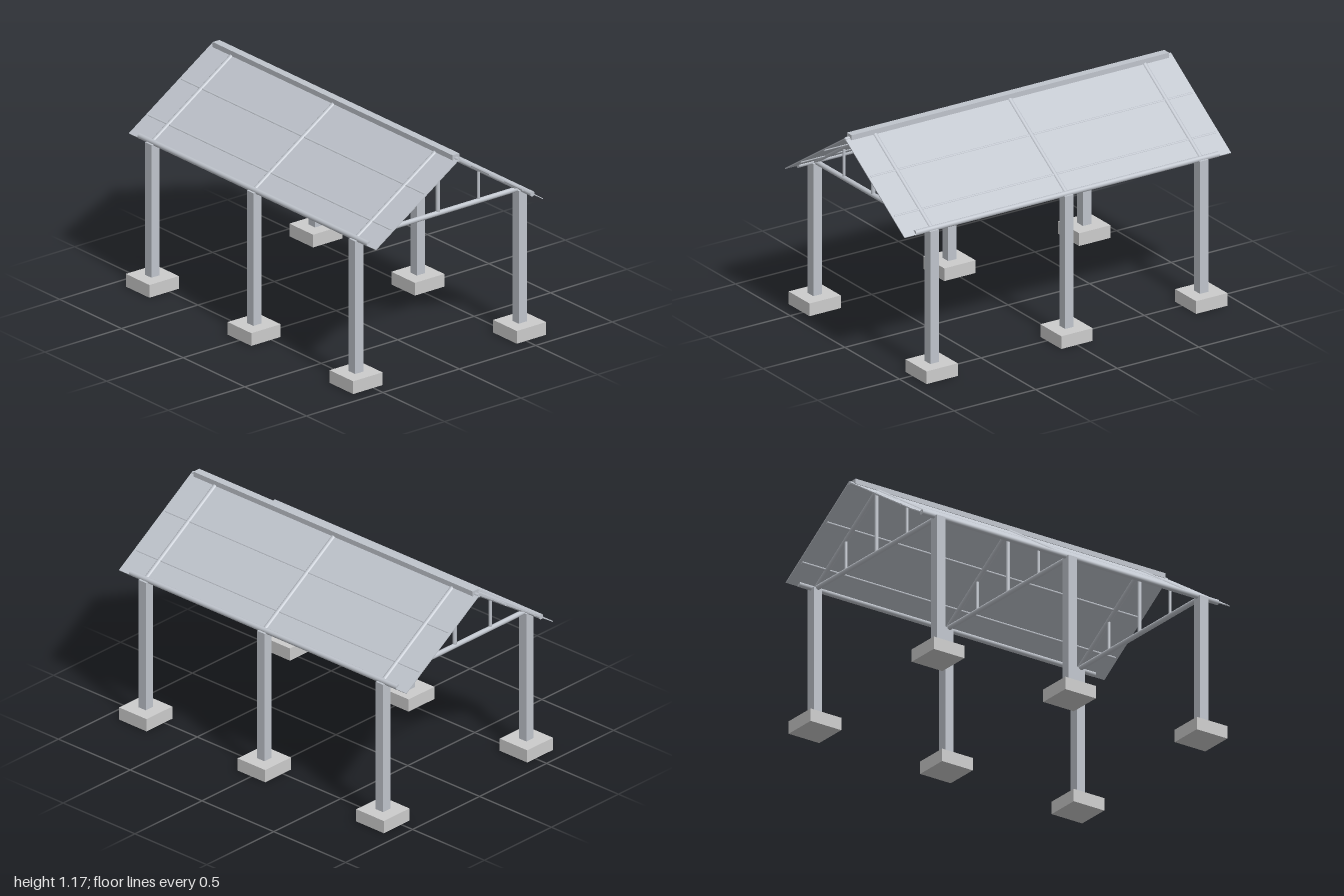
import * as THREE from 'three';

const steel = new THREE.MeshStandardMaterial({ color: 0xbfc4cc });
const concrete = new THREE.MeshStandardMaterial({ color: 0xcccccc });

const FRAMES = [-0.826, 0, 0.826]; // x of each truss
const POST_Z = 0.535, EAVE_Y = 0.8, RIDGE_Y = 1.15;
const SLOPE = (RIDGE_Y - EAVE_Y) / POST_Z;
const roofY = (z) => RIDGE_Y - SLOPE * Math.abs(z);

export function createModel() {
  const model = new THREE.Group();
  model.name = 'openShelter';

  function box(parent, name, w, h, d, x, y, z, material = steel) {
    const mesh = new THREE.Mesh(new THREE.BoxGeometry(w, h, d), material);
    mesh.name = name;
    mesh.position.set(x, y, z);
    parent.add(mesh);
    return mesh;
  }

  // Round bar between two points
  function bar(parent, name, a, b, radius) {
    const from = new THREE.Vector3(...a), to = new THREE.Vector3(...b);
    const dir = to.clone().sub(from);
    const mesh = new THREE.Mesh(new THREE.CylinderGeometry(radius, radius, dir.length(), 16), steel);
    mesh.name = name;
    mesh.position.copy(from).add(to).multiplyScalar(0.5);
    mesh.quaternion.setFromUnitVectors(new THREE.Vector3(0, 1, 0), dir.normalize());
    parent.add(mesh);
  }

  // Frames: footings, posts and trusses
  for (const x of FRAMES) {
    const frame = new THREE.Group();
    frame.name = 'frame';
    model.add(frame);
    for (const s of [-1, 1]) {
      const z = s * POST_Z;
      box(frame, 'footing', 0.192, 0.07, 0.192, x, 0.035, z, concrete);
      box(frame, 'post', 0.052, 0.73, 0.054, x, 0.435, z);
      bar(frame, 'rafter', [x, EAVE_Y, z], [x, RIDGE_Y, 0], 0.0135);
      bar(frame, 'webStrut', [x, EAVE_Y, s * 0.266], [x, roofY(0.266), s * 0.266], 0.008);
    }
    bar(frame, 'bottomChord', [x, 0.802, -POST_Z], [x, 0.802, POST_Z], 0.0135);
    bar(frame, 'kingPost', [x, EAVE_Y, 0], [x, RIDGE_Y, 0], 0.011);
  }

  // Roof sheets, purlins and eave tubes on both slopes
  const edge = 0.547;
  const length = Math.hypot(edge, edge * SLOPE);
  for (const s of [-1, 1]) {
    const sheet = box(model, 'roofSheet', 2, 0.005, length, 0, roofY(edge / 2) + 0.004, s * edge / 2);
    sheet.rotation.x = s * Math.atan(SLOPE);
    for (const z of [0.213, 0.43]) {
      bar(model, 'purlin', [-0.985, roofY(z) + 0.002, s * z], [0.985, roofY(z) + 0.002, s * z], 0.007);
    }
    bar(model, 'eaveTube', [-0.93, EAVE_Y + 0.003, s * POST_Z], [0.93, EAVE_Y + 0.003, s * POST_Z], 0.0145);
  }

  // Ridge
  box(model, 'ridgeCap', 1.945, 0.028, 0.044, 0, 1.159, 0);
  bar(model, 'ridgePurlin', [-0.997, RIDGE_Y, 0], [0.997, RIDGE_Y, 0], 0.01);

  return model;
}
